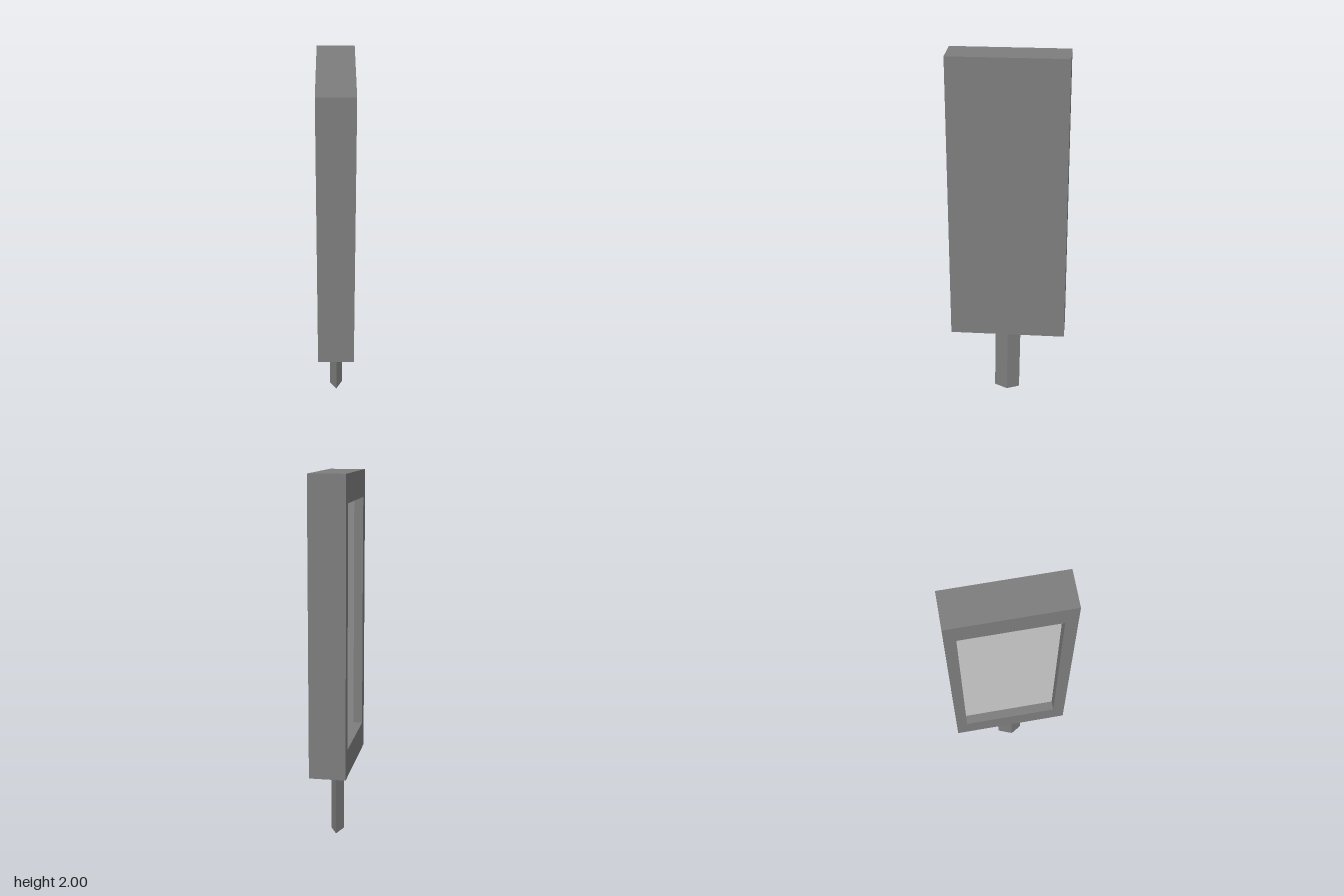
import * as THREE from 'three';

const darkGrey = new THREE.MeshStandardMaterial({ color: 0x7d7d7d, flatShading: true });
const lightGrey = new THREE.MeshStandardMaterial({ color: 0xcccccc, flatShading: true });

// Closed path through a few corner points
const outline = (points, Type = THREE.Shape) => new Type(points.map(([a, b]) => new THREE.Vector2(a, b)));
const rect = (a0, b0, a1, b1) => [[a0, b0], [a1, b0], [a1, b1], [a0, b1]];

function addPart(group, name, geometry, material = darkGrey) {
  const mesh = new THREE.Mesh(geometry, material);
  mesh.name = name;
  group.add(mesh);
}

// Box given by its lowest and highest corners
function boxBetween([x0, y0, z0], [x1, y1, z1]) {
  return new THREE.BoxGeometry(x1 - x0, y1 - y0, z1 - z0)
    .translate((x0 + x1) / 2, (y0 + y1) / 2, (z0 + z1) / 2);
}

export function createModel() {
  const model = new THREE.Group();
  const bottom = 0.41, top = 2, halfWidth = 0.317;
  const xRim = -0.1, xFloor = -0.048, xBack = 0.097;
  const hole = { z0: -0.258, z1: 0.253, y0: 0.56, y1: 1.852 };

  // Solid slab that closes the panel on the plain side
  addPart(model, 'panelBody', boxBetween([xFloor, bottom, -halfWidth], [xBack, top, halfWidth]));

  // Raised frame around the recessed window, drawn in (z, y) and extruded towards -x
  const frame = outline(rect(-halfWidth, bottom, halfWidth, top));
  frame.holes.push(outline(rect(hole.z0, hole.y0, hole.z1, hole.y1).reverse(), THREE.Path));
  const frameGeometry = new THREE.ExtrudeGeometry(frame, { depth: xFloor - xRim, bevelEnabled: false });
  frameGeometry.rotateY(-Math.PI / 2).translate(xFloor, 0, 0);
  addPart(model, 'panelFrame', frameGeometry);

  // Lighter sheet at the back of the window
  addPart(model, 'windowPane',
    boxBetween([xFloor - 0.002, hole.y0, hole.z0], [xFloor + 0.01, hole.y1, hole.z1]), lightGrey);

  // Diamond-section stick, drawn in (x, -z), extruded upwards and leaning slightly
  const section = outline([[0.001, -0.081], [0.035, -0.009], [-0.003, 0.06], [-0.036, -0.02]]);
  const stick = new THREE.ExtrudeGeometry(section, { depth: 0.43, bevelEnabled: false });
  stick.rotateX(-Math.PI / 2);
  const p = stick.attributes.position;
  for (let i = 0; i < p.count; i++) {
    const y = p.getY(i), z = p.getZ(i);
    p.setY(i, y + 0.06 * (z + 0.06));
    p.setZ(i, z - 0.017 * y);
  }
  stick.computeVertexNormals();
  addPart(model, 'stick', stick);

  return model;
}
